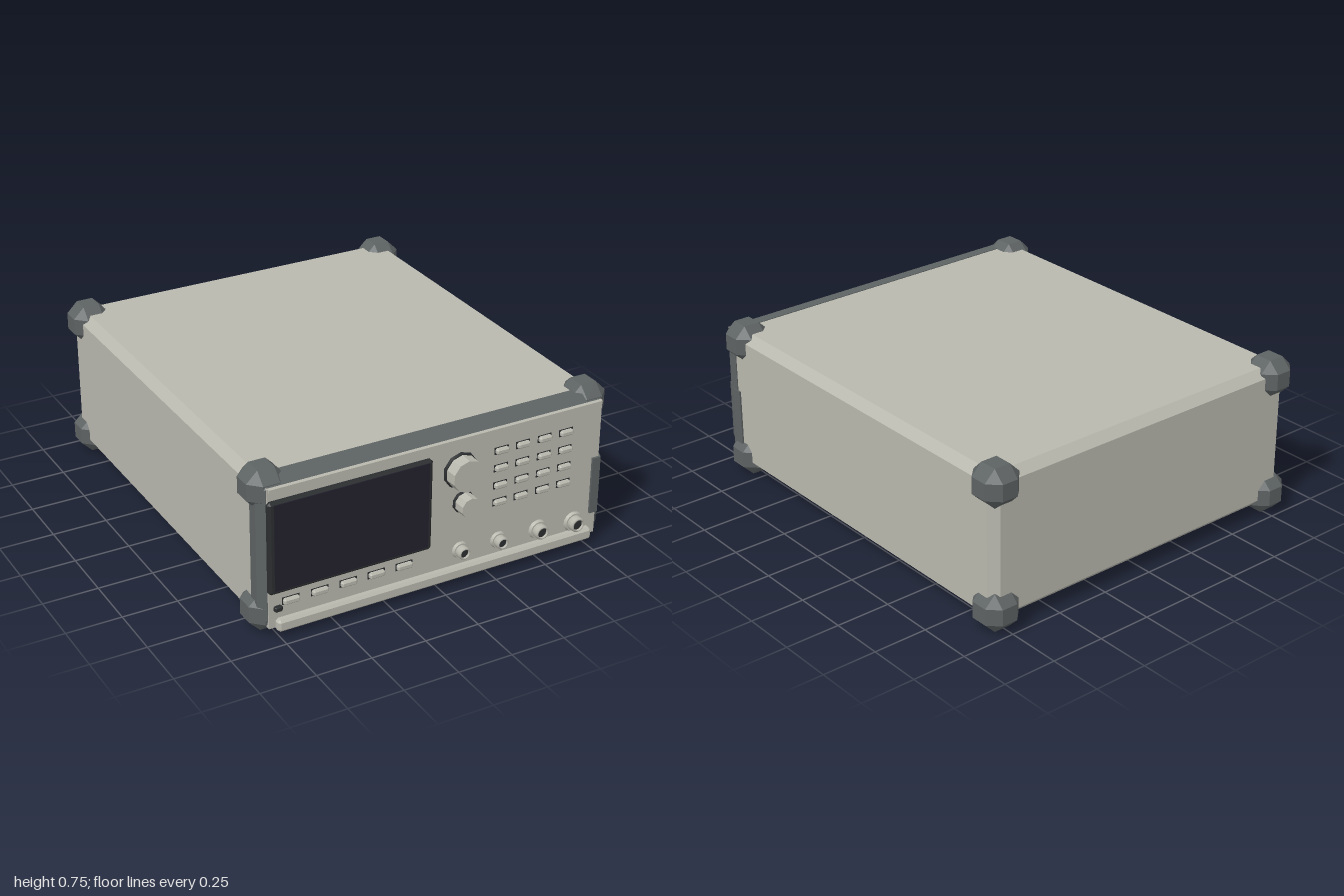
import * as THREE from 'three';
import { ConvexGeometry } from 'three/addons/geometries/ConvexGeometry.js';

const mat = (name, color) => {
  const m = new THREE.MeshStandardMaterial({ color });
  m.name = name;
  return m;
};

export function createModel() {
  const casing = mat('warm grey casing', 0xb9b8ae);
  const rubber = mat('dark grey rubber', 0x5d6263);
  const black = mat('black plastic', 0x2a2d2f);
  const glass = mat('screen glass', 0x22212d);

  const model = new THREE.Group();
  model.name = 'benchInstrument';

  const add = (name, geo, material, x = 0, y = 0, z = 0, parent = model) => {
    const mesh = new THREE.Mesh(geo, material);
    mesh.name = name;
    mesh.position.set(x, y, z);
    parent.add(mesh);
    return mesh;
  };
  const group = (name) => {
    const g = new THREE.Group();
    g.name = name;
    model.add(g);
    return g;
  };

  // Convex block from octagonal sections; each section is [z, inset]
  const block = (w, h, c, sections) => {
    const pts = [];
    for (const [z, inset] of sections) {
      const a = w / 2 - inset, b = h / 2 - inset, k = Math.max(c - inset, 0);
      for (const sx of [-1, 1]) for (const sy of [-1, 1]) {
        pts.push(new THREE.Vector3(sx * a, sy * (b - k), z));
        if (k > 1e-5) pts.push(new THREE.Vector3(sx * (a - k), sy * b, z));
      }
    }
    return new ConvexGeometry(pts);
  };
  // Box with every edge chamfered by c
  const chamferBox = (w, h, d, c) =>
    block(w, h, c, [[-d / 2, c], [-d / 2 + c, 0], [d / 2 - c, 0], [d / 2, c]]);
  // Key with chamfered front edges only, its back on z = 0
  const key = (w, h, d, c) => block(w, h, c, [[0, 0], [d - c, 0], [d, c]]);
  // Cylinder whose axis points to the front, its back on z = 0
  const disc = (rFront, rBack, d, sides) =>
    new THREE.CylinderGeometry(rFront, rBack, d, sides).rotateX(Math.PI / 2).translate(0, 0, d / 2);

  // Casing and the dark frame round its front
  const midY = 0.38, W = 1.645, H = 0.67;
  add('casing', block(W, H, 0.038, [[-0.963, 0.038], [-0.925, 0], [0.84, 0]]), casing, 0, midY);
  add('frontFrame', block(W + 0.008, H + 0.006, 0.035, [[0.84, 0], [0.89, 0], [0.925, 0.03]]), rubber, 0, midY);

  // Corner bumpers
  const bumpers = group('cornerBumpers');
  const bumperGeo = chamferBox(0.175, 0.175, 0.18, 0.05);
  for (const x of [-0.765, 0.765]) for (const y of [0.095, 0.66]) for (const z of [-0.91, 0.828])
    add('cornerBumper', bumperGeo, rubber, x, y, z, bumpers);

  // Feet
  const feet = group('feet');
  const footGeo = chamferBox(0.15, 0.07, 0.172, 0.014);
  for (const x of [-0.547, 0.547]) for (const z of [-0.652, 0.576])
    add('foot', footGeo, black, x, 0.035, z, feet);

  // Front panel with its top rim and bottom ledge
  add('frontPanel', new THREE.BoxGeometry(1.59, 0.645, 0.02), casing, 0, 0.3675, 0.922);
  add('panelTopRim', new THREE.BoxGeometry(1.58, 0.014, 0.012), casing, 0, 0.683, 0.936);
  add('bottomLedge', key(1.53, 0.058, 0.034, 0.012), casing, 0, 0.059, 0.928);

  // Side grip wrapping the front right edge
  const grip = [[0.83, 0.82], [0.83, 0.87], [0.8, 0.942], [0.76, 0.942], [0.76, 0.82]];
  const gripPts = [];
  for (const y of [0.15, 0.42]) for (const [x, z] of grip) gripPts.push(new THREE.Vector3(x, y, z));
  add('sideGrip', new ConvexGeometry(gripPts), rubber);
  add('sideGripTail', new THREE.BoxGeometry(0.02, 0.12, 0.05), rubber, 0.82, 0.11, 0.845);

  // Screen: raised surround and thin glass
  add('screenSurround', key(0.755, 0.425, 0.022, 0.012), black, -0.4225, 0.4225, 0.931);
  add('screenGlass', new THREE.BoxGeometry(0.71, 0.395, 0.006), glass, -0.421, 0.427, 0.953);

  // Keypad, soft keys and power button
  const keypad = group('keypad');
  const padGeo = key(0.062, 0.027, 0.02, 0.007);
  for (const x of [0.294, 0.4, 0.508, 0.615]) for (const y of [0.582, 0.5, 0.418, 0.337]) {
    add('keypadSeat', new THREE.BoxGeometry(0.068, 0.033, 0.004), black, x, y, 0.932, keypad);
    add('keypadKey', padGeo, casing, x, y, 0.931, keypad);
  }
  const softKeys = group('softKeys');
  const softGeo = key(0.074, 0.028, 0.02, 0.007);
  for (let i = 0; i < 5; i++) {
    const x = -0.695 + i * 0.132;
    add('softKeySeat', new THREE.BoxGeometry(0.08, 0.034, 0.004), black, x, 0.16, 0.932, softKeys);
    add('softKey', softGeo, casing, x, 0.16, 0.931, softKeys);
  }
  add('powerButton', key(0.036, 0.026, 0.018, 0.006), black, -0.755, 0.135, 0.931);

  // Faceted control knobs on dark collars
  const knobs = group('knobs');
  for (const [x, y, r] of [[0.095, 0.54, 0.083], [0.113, 0.387, 0.052]]) {
    add('knobCollar', disc(r * 0.96, r, 0.014, 10), black, x, y, 0.931, knobs);
    const cap = add('knob', disc(r * 0.88, r * 0.92, 0.069, 10).toNonIndexed(), casing, x, y, 0.931, knobs);
    cap.geometry.computeVertexNormals();
  }

  // Sockets: flange, hollow barrel and dark core
  const sockets = group('sockets');
  const barrel = [[0.021, 0], [0.03, 0], [0.03, 0.04], [0.026, 0.046], [0.021, 0.046], [0.021, 0]]
    .map(([r, z]) => new THREE.Vector2(r, z));
  for (const [x, y, s] of [[0.105, 0.156, 0.95], [0.295, 0.15, 0.95], [0.496, 0.144, 1.1], [0.68, 0.13, 1.15]]) {
    const flange = add('socketFlange', disc(0.036, 0.041, 0.014, 16), casing, x, y, 0.931, sockets);
    const tube = add('socketBarrel',
      new THREE.LatheGeometry(barrel, 14).rotateX(Math.PI / 2), casing, x, y, 0.931, sockets);
    const core = add('socketCore', disc(0.021, 0.021, 0.036, 14), black, x, y, 0.931, sockets);
    for (const m of [flange, tube, core]) m.scale.set(s, s, 1);
  }

  return model;
}
